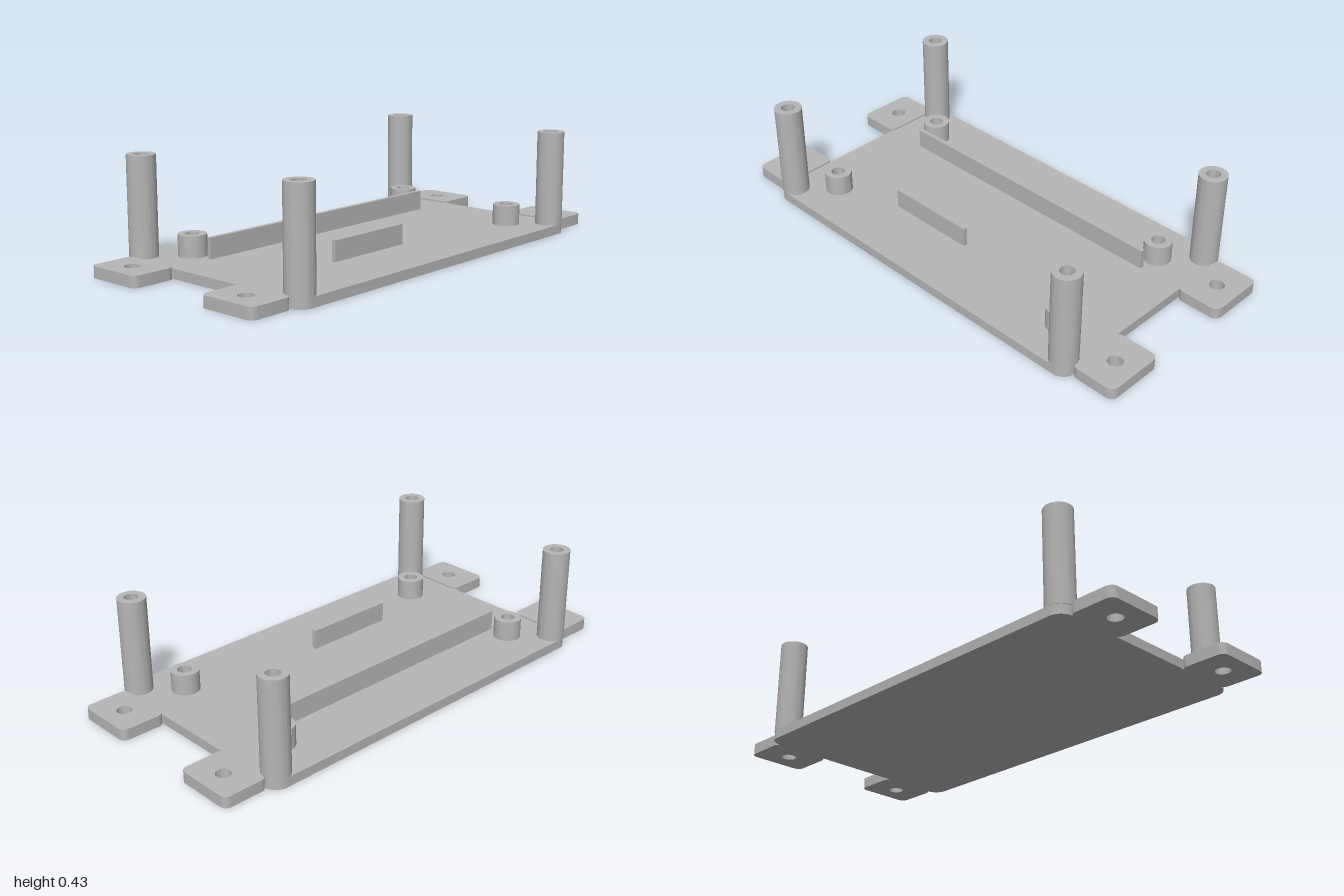
import * as THREE from 'three';
import { toCreasedNormals } from 'three/addons/utils/BufferGeometryUtils.js';

const grey = new THREE.MeshStandardMaterial({ color: 0xb6b6b6 });
grey.name = 'grey plastic';

const BASE_TOP = 0.039;

// Extrudes an outline drawn in plan (x, z) upwards from y0 to y1
function slab(shape, y0, y1, curveSegments = 10) {
  const geo = new THREE.ExtrudeGeometry(shape, { depth: y1 - y0, bevelEnabled: false, curveSegments });
  geo.rotateX(-Math.PI / 2);
  geo.translate(0, y0, 0);
  return toCreasedNormals(geo, 0.6);
}

function roundedRect(w, d, r) {
  const x = w / 2, y = d / 2;
  const s = new THREE.Shape();
  s.absarc(x - r, y - r, r, 0, Math.PI / 2);
  s.absarc(-x + r, y - r, r, Math.PI / 2, Math.PI);
  s.absarc(-x + r, -y + r, r, Math.PI, Math.PI * 1.5);
  s.absarc(x - r, -y + r, r, Math.PI * 1.5, Math.PI * 2);
  s.closePath();
  return s;
}

function addHole(shape, r) {
  const hole = new THREE.Path();
  hole.absarc(0, 0, r, 0, Math.PI * 2, true);
  shape.holes.push(hole);
  return shape;
}

function tube(outer, inner, y0, y1) {
  const s = new THREE.Shape();
  s.absarc(0, 0, outer, 0, Math.PI * 2);
  return slab(addHole(s, inner), y0, y1, 32);
}

export function createModel() {
  const model = new THREE.Group();
  model.name = 'mountingPlate';

  const add = (name, geometry, x = 0, z = 0) => {
    const mesh = new THREE.Mesh(geometry, grey);
    mesh.name = name;
    mesh.position.set(x, 0, z);
    model.add(mesh);
  };

  // Base plate
  add('basePlate', slab(roundedRect(1.63, 0.932, 0.055), 0, BASE_TOP));

  // Corner posts, short standoffs and screw tabs, mirrored to all four corners
  const post = tube(0.056, 0.028, BASE_TOP, 0.433);
  const standoff = tube(0.056, 0.028, BASE_TOP, 0.125);
  const tab = slab(addHole(roundedRect(0.188, 0.25, 0.028), 0.03), 0, 0.046, 16);
  for (const sx of [-1, 1]) {
    for (const sz of [-1, 1]) {
      const corner = (sz > 0 ? 'front' : 'back') + (sx > 0 ? 'Left' : 'Right');
      add(corner + 'Post', post, sx * 0.762, sz * 0.411);
      add(corner + 'Standoff', standoff, sx * 0.63, sz * 0.283);
      add(corner + 'ScrewTab', tab, sx * 0.906, sz * 0.3);
    }
  }

  // Thin upright ribs
  const rib = (name, x0, x1, z) => {
    const geo = new THREE.BoxGeometry(x1 - x0, 0.122 - BASE_TOP, 0.018);
    geo.translate(0, (0.122 + BASE_TOP) / 2, 0);
    add(name, geo, (x0 + x1) / 2, z);
  };
  rib('backRib', -0.63, 0.63, -0.19);
  rib('frontRib', -0.352, 0.04, 0.19);

  return model;
}
